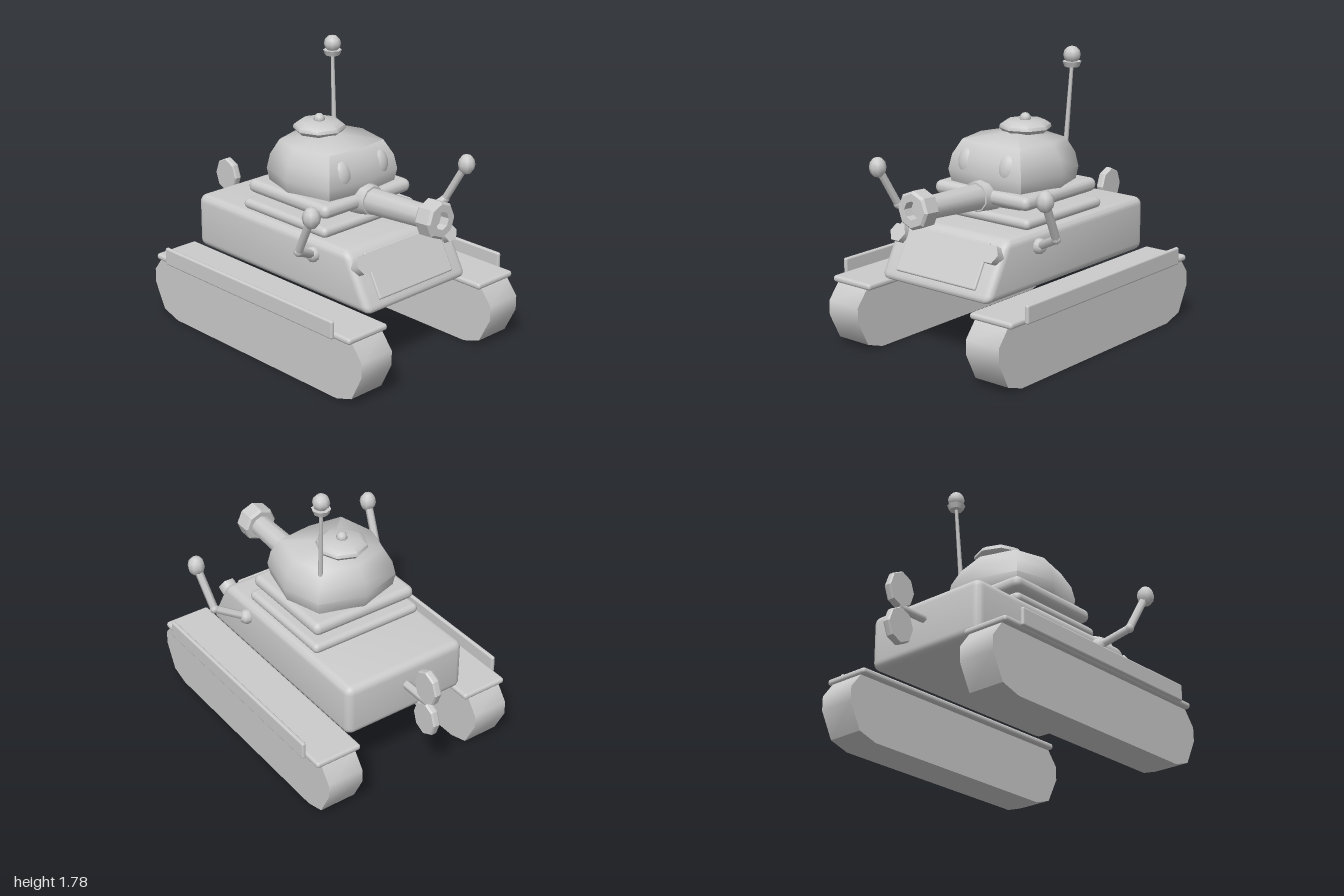
import * as THREE from 'three';
import { toCreasedNormals } from 'three/addons/utils/BufferGeometryUtils.js';
import { RoundedBoxGeometry } from 'three/addons/geometries/RoundedBoxGeometry.js';

const grey = new THREE.MeshStandardMaterial({ color: 0xcccccc });
const V = (x, y, z) => new THREE.Vector3(x, y, z);

export function createModel() {
  const model = new THREE.Group();

  const add = (name, geometry, x = 0, y = 0, z = 0) => {
    const mesh = new THREE.Mesh(geometry, grey);
    mesh.name = name;
    mesh.position.set(x, y, z);
    model.add(mesh);
    return mesh;
  };
  const slab = (w, h, d, r, segments = 2) => new RoundedBoxGeometry(w, h, d, segments, r);
  const lathe = (points, sides, crease) => toCreasedNormals(
    new THREE.LatheGeometry(points.map(([r, y]) => new THREE.Vector2(r, y)), sides), crease);
  // Tapered rod from a to b
  const rod = (name, a, b, ra, rb, sides) => {
    const dir = b.clone().sub(a);
    const mesh = add(name, new THREE.CylinderGeometry(rb, ra, dir.length(), sides));
    mesh.position.copy(a).lerp(b, 0.5);
    mesh.quaternion.setFromUnitVectors(V(0, 1, 0), dir.normalize());
    return mesh;
  };
  const ball = (name, r, p, stretch = 1) => {
    const mesh = add(name, new THREE.SphereGeometry(r, 8, 6), p.x, p.y, p.z);
    mesh.scale.y = stretch;
    return mesh;
  };

  // Hull: rounded box with its front end sheared into a slope
  const slope = 0.55, tilt = Math.atan(slope);
  let hull = slab(0.85, 0.345, 1.425, 0.05, 3);
  const hp = hull.attributes.position;
  for (let i = 0; i < hp.count; i++)
    if (hp.getZ(i) > 0) hp.setZ(i, hp.getZ(i) - slope * hp.getY(i));
  add('hull', toCreasedNormals(hull, 0.6), 0, 0.6025, 0.0125);
  add('frontPanel', slab(0.62, 0.285, 0.03, 0.01), 0, 0.62, 0.714).rotation.x = -tilt;

  // Track outline in (z, y)
  const trackShape = new THREE.Shape([
    [0.8, 0], [0.92, 0.04], [1, 0.2], [1, 0.29], [0.92, 0.39], [-0.77, 0.39],
    [-0.845, 0.29], [-0.845, 0.2], [-0.765, 0.04], [-0.635, 0],
  ].map(([z, y]) => new THREE.Vector2(z, y)));
  const trackGeometry = toCreasedNormals(
    new THREE.ExtrudeGeometry(trackShape, { depth: 0.24, bevelEnabled: false })
      .rotateY(-Math.PI / 2).translate(0.12, 0, 0), 0.8);

  for (const s of [1, -1]) {
    const side = s > 0 ? 'left' : 'right';

    // Running gear
    add(side + 'Track', trackGeometry, s * 0.545, 0, 0);
    add(side + 'Fender', slab(0.31, 0.04, 1.72, 0.018), s * 0.545, 0.405, 0.075);
    add(side + 'FenderLip', slab(0.028, 0.112, 1.485, 0.012), s * 0.71, 0.447, 0.077);

    // Headlight on the sloping nose
    const lamp = add(side + 'Headlight',
      new THREE.CylinderGeometry(0.06, 0.06, 0.06, 6, 1, false, Math.PI / 6), s * 0.36, 0.695, 0.69);
    lamp.rotation.x = Math.PI / 2 - tilt;

    // Raised arm
    const shoulder = V(s * 0.435, 0.69, 0.365);
    const elbow = V(s * 0.62, 0.78, 0.44);
    const hand = V(s * 0.65, 1.035, 0.58);
    ball(side + 'Shoulder', 0.048, shoulder);
    rod(side + 'UpperArm', shoulder, elbow, 0.026, 0.026, 6);
    ball(side + 'Elbow', 0.029, elbow);
    rod(side + 'Forearm', elbow, hand, 0.026, 0.026, 6);
    ball(side + 'Hand', 0.054, hand, 1.2);

    // Shallow eye bump on the turret
    const eye = add(side + 'Eye', new THREE.SphereGeometry(1, 14, 10), s * 0.16, 1.1, 0.315);
    eye.scale.set(0.065, 0.085, 0.045);
    eye.rotation.set(-0.2, s * 0.15, 0);
  }

  // Turret base plates
  add('turretRing', slab(0.77, 0.066, 0.725, 0.032), 0, 0.808, 0.047);
  add('turretCollar', slab(0.73, 0.085, 0.69, 0.04), 0, 0.923, 0.05);

  // Turret dome: eight-sided lathe pushed out at the diagonals
  const dome = new THREE.LatheGeometry([
    [0, 0.835], [0.25, 0.835], [0.34, 0.95], [0.358, 1.04], [0.338, 1.13], [0.283, 1.222], [0, 1.265],
  ].map(([r, y]) => new THREE.Vector2(r, y)), 8);
  const dp = dome.attributes.position;
  for (let i = 0; i < dp.count; i++) {
    const x = dp.getX(i), z = dp.getZ(i);
    if (Math.abs(x) > 0.01 && Math.abs(z) > 0.01) {
      dp.setX(i, x * 1.12);
      dp.setZ(i, z * (z > 0 ? 1.19 : 0.98));
    } else dp.setZ(i, z * 0.94);
  }
  add('turret', toCreasedNormals(dome, 1.0), 0, 0, 0.045);

  // Hatch
  add('hatch', lathe([[0, 1.245], [0.14, 1.25], [0.16, 1.272], [0.155, 1.292], [0.12, 1.315], [0, 1.32]], 8, 0.9),
    0, 0, -0.04);
  ball('hatchKnob', 0.035, V(0, 1.327, -0.04));

  // Gun
  rod('barrelCollar', V(0, 0.92, 0.3), V(0, 0.924, 0.425), 0.11, 0.09, 10);
  rod('barrel', V(0, 0.918, 0.35), V(0, 0.945, 0.88), 0.082, 0.07, 10);
  const muzzle = add('muzzle', lathe([
    [0, -0.06], [0.1, -0.06], [0.115, -0.045], [0.115, 0.045], [0.1, 0.06],
    [0.055, 0.06], [0.055, 0], [0, 0],
  ], 8, 0.5), 0, 0.95, 0.915);
  muzzle.rotation.x = Math.PI / 2 - 0.05;

  // Antenna
  rod('antennaRod', V(0.23, 1.2, -0.147), V(0.245, 1.67, -0.18), 0.015, 0.011, 6);
  add('antennaCup', new THREE.CylinderGeometry(0.058, 0.045, 0.033, 8), 0.245, 1.667, -0.18);
  ball('antennaBall', 0.053, V(0.245, 1.723, -0.18));

  // Rear propeller
  rod('propellerShaft', V(0, 0.637, -0.65), V(0, 0.637, -0.91), 0.028, 0.028, 6);
  for (const [name, y] of [['upperBlade', 0.745], ['lowerBlade', 0.522]]) {
    const blade = add(name, lathe([[0, -0.025], [0.108, -0.025], [0.115, -0.014], [0.115, 0.014],
      [0.108, 0.025], [0, 0.025]], 8, 0.5).rotateZ(Math.PI / 2), 0, y, -0.9);
    blade.scale.z = 0.86;
  }

  return model;
}
